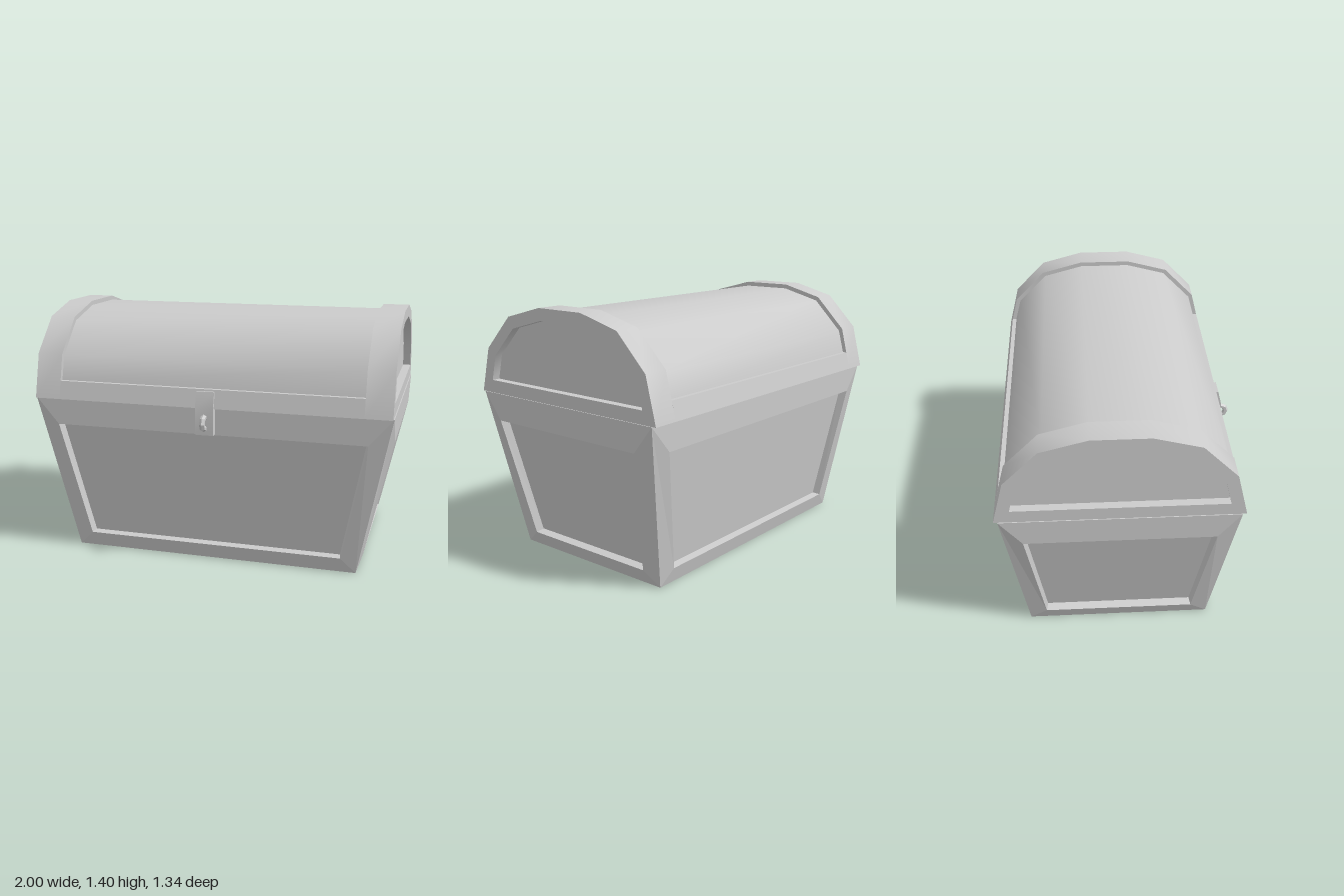
import * as THREE from 'three';
import { toCreasedNormals } from 'three/addons/utils/BufferGeometryUtils.js';

const material = new THREE.MeshStandardMaterial({ color: 0xcccccc });
const CENTRE_Z = -0.034;

function add(parent, name, geometry) {
  const mesh = new THREE.Mesh(geometry, material);
  mesh.name = name;
  parent.add(mesh);
  return mesh;
}

// Nested four-cornered rings facing +z, joined by quads and closed by the last ring.
// Ring: [bottom half width, y, z, top half width, y, z]
function framedWall(rings) {
  const corners = rings.map(([b, by, bz, t, ty, tz]) =>
    [[-b, by, bz], [b, by, bz], [t, ty, tz], [-t, ty, tz]]);
  const positions = [];
  const quad = (a, b, c, d) => positions.push(...a, ...b, ...c, ...a, ...c, ...d);
  for (let r = 0; r < corners.length - 1; r++) {
    const outer = corners[r], inner = corners[r + 1];
    for (let i = 0; i < 4; i++) {
      const j = (i + 1) % 4;
      quad(outer[i], outer[j], inner[j], inner[i]);
    }
  }
  quad(...corners[corners.length - 1]);
  const geometry = new THREE.BufferGeometry();
  geometry.setAttribute('position', new THREE.Float32BufferAttribute(positions, 3));
  geometry.computeVertexNormals();
  return geometry;
}

// Right half of a (z, y) outline mirrored into a full one
function mirrored(half) {
  return [...half, ...half.map(([z, y]) => [-z, y]).reverse()]
    .map(([z, y]) => new THREE.Vector2(z, y));
}

// Extrude a (z, y) outline along x, centred on x = 0
function extrudeX(points, width, hole) {
  const shape = new THREE.Shape(points);
  if (hole) shape.holes.push(new THREE.Path(hole));
  const geometry = new THREE.ExtrudeGeometry(shape, { depth: width, bevelEnabled: false });
  geometry.translate(0, 0, -width / 2).rotateY(-Math.PI / 2);
  return toCreasedNormals(geometry, 0.7);
}

function createBody() {
  const body = new THREE.Group();
  body.name = 'body';
  // Outer edge, raised rim, recess floor
  const longWall = framedWall([
    [0.82, 0, 0.503, 1, 0.91, 0.612],
    [0.735, 0.085, 0.524, 0.872, 0.76, 0.612],
    [0.728, 0.09, 0.479, 0.861, 0.762, 0.567],
  ]);
  const endWall = framedWall([
    [0.503, 0, 0.82, 0.612, 0.91, 1],
    [0.41, 0.08, 0.848, 0.495, 0.76, 0.998],
    [0.403, 0.09, 0.803, 0.485, 0.768, 0.953],
  ]);
  ['frontWall', 'leftWall', 'backWall', 'rightWall'].forEach((name, i) => {
    add(body, name, i % 2 ? endWall : longWall).rotation.y = i * Math.PI / 2;
  });
  add(body, 'bottom', new THREE.PlaneGeometry(1.64, 1.006).rotateX(Math.PI / 2));
  add(body, 'bodyTop', new THREE.PlaneGeometry(2, 1.224).rotateX(-Math.PI / 2)).position.y = 0.91;
  body.position.z = CENTRE_Z;
  return body;
}

function createLid() {
  const lid = new THREE.Group();
  lid.name = 'lid';
  const outer = mirrored([[0.634, 0.91], [0.572, 1.155], [0.392, 1.34], [0.15, 1.405]]);
  const opening = mirrored([[0.55, 0.98], [0.515, 1.12], [0.359, 1.28], [0.14, 1.34]]);
  // Bottom band, then a step in to the sunken barrel
  const barrel = mirrored([[0.634, 0.91], [0.609, 1.01], [0.585, 1.01],
    [0.55, 1.142], [0.378, 1.318], [0.146, 1.38]]);
  add(lid, 'barrel', extrudeX(barrel, 1.7));

  const frame = extrudeX(outer, 0.145, opening);
  const panel = new THREE.ShapeGeometry(new THREE.Shape(opening));
  for (const side of [1, -1]) {
    const label = side > 0 ? 'left' : 'right';
    add(lid, label + 'EndFrame', frame).position.x = side * 0.9225;
    const endPanel = add(lid, label + 'EndPanel', panel);
    endPanel.position.x = side * 0.95;
    endPanel.rotation.y = side * Math.PI / 2;
  }
  lid.position.z = CENTRE_Z;
  return lid;
}

function createLatch() {
  const latch = new THREE.Group();
  latch.name = 'latch';
  const outline = [[0.565, 0.765], [0.613, 0.765], [0.613, 0.912], [0.59, 1], [0.56, 1]]
    .map(([z, y]) => new THREE.Vector2(z, y));
  add(latch, 'hasp', extrudeX(outline, 0.1));
  // Staple ring standing out of the hasp
  const ring = new THREE.TorusGeometry(0.032, 0.016, 6, 8).rotateY(Math.PI / 2);
  add(latch, 'staple', toCreasedNormals(ring, 0.5)).position.set(0, 0.834, 0.619);
  return latch;
}

export function createModel() {
  const chest = new THREE.Group();
  chest.name = 'chest';
  chest.add(createBody(), createLid(), createLatch());
  return chest;
}
